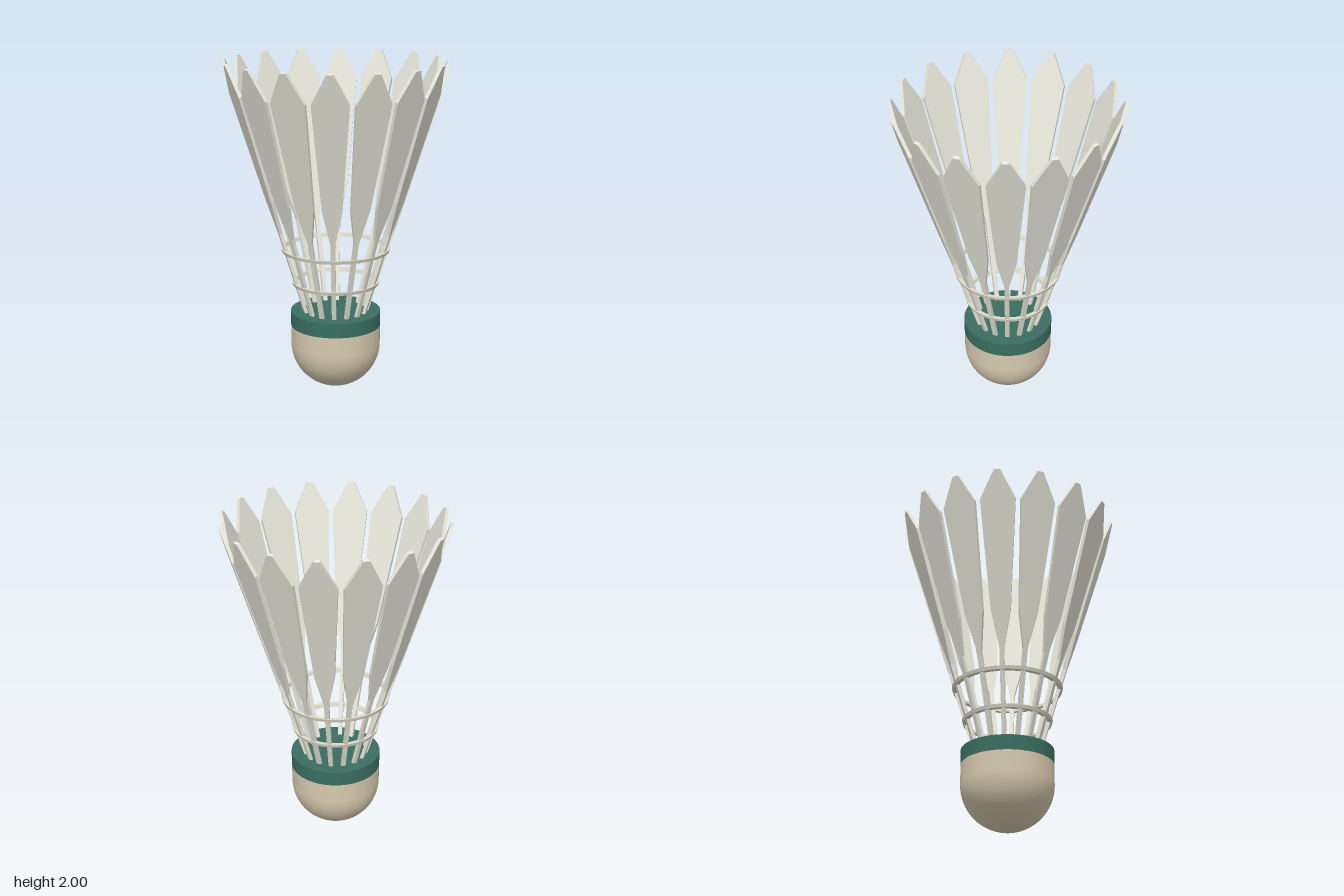
import * as THREE from 'three';

const FEATHERS = 16;
const SLOPE = 0.306;                 // outward run of a feather per unit of height
const TILT = Math.atan(SLOPE);
const FOOT_Y = 0.44, CAP_Y = 0.48, CAP_R = 0.18;

const radiusAt = (y) => CAP_R + (y - CAP_Y) * SLOPE;   // inner face of the skirt

function paint(color) {
  return new THREE.MeshStandardMaterial({ color });
}

function addMesh(parent, name, geometry, material) {
  const mesh = new THREE.Mesh(geometry, material);
  mesh.name = name;
  parent.add(mesh);
  return mesh;
}

// Flat feather: thin stem widening into a pointed vane, [half width, height]
function featherGeometry() {
  const half = [[0.013, FOOT_Y], [0.014, 0.99], [0.058, 1.2], [0.105, 1.83], [0.018, 2]];
  const along = (y) => (y - FOOT_Y) / Math.cos(TILT);
  const right = half.map(([x, y]) => new THREE.Vector2(x, along(y)));
  const left = half.map(([x, y]) => new THREE.Vector2(-x, along(y))).reverse();
  const geometry = new THREE.ExtrudeGeometry(new THREE.Shape([...right, ...left]),
    { depth: 0.02, bevelEnabled: false });
  geometry.rotateX(TILT);
  geometry.translate(0, FOOT_Y, radiusAt(FOOT_Y));
  return geometry;
}

// Conical band that binds the stems; each side has its own normals
function ringGeometry(y) {
  const r = radiusAt(y) + 0.005, h = 0.01, lean = h * SLOPE, w = 0.024;
  const corners = [[r - lean, y - h], [r + w - lean, y - h], [r + w + lean, y + h], [r + lean, y + h]];
  const points = corners.map((c) => new THREE.Vector2(...c));
  return points.map((p, i) => new THREE.LatheGeometry([p, points[(i + 1) % 4]], 64));
}

export function createModel() {
  const model = new THREE.Group();
  model.name = 'shuttlecock';
  const cork = paint(0xd6c9ae), green = paint(0x3a6e60);
  const white = paint(0xe6e6da), thread = paint(0xdedac8);

  // Rounded cork base
  const R = 0.272;
  const profile = [];
  for (let i = 0; i <= 20; i++) {
    const a = (i / 20) * Math.PI / 2;
    profile.push(new THREE.Vector2(R * Math.sin(a), R - R * Math.cos(a)));
  }
  profile.push(new THREE.Vector2(R, 0.39));
  addMesh(model, 'corkBase', new THREE.LatheGeometry(profile, 64), cork);

  // Coloured band closing the top of the cork
  const band = addMesh(model, 'band', new THREE.CylinderGeometry(R + 0.001, R + 0.001, 0.09, 64), green);
  band.position.y = 0.435;

  // Skirt of feathers
  const skirt = new THREE.Group();
  skirt.name = 'feathers';
  const feather = featherGeometry();
  for (let i = 0; i < FEATHERS; i++) {
    addMesh(skirt, 'feather' + (i + 1), feather, white).rotation.y = (i / FEATHERS) * Math.PI * 2;
  }
  model.add(skirt);

  // Two binding rings
  [['lowerRing', 0.66], ['upperRing', 0.87]].forEach(([name, y]) => {
    const ring = new THREE.Group();
    ring.name = name;
    ringGeometry(y).forEach((g, i) => addMesh(ring, ['under', 'outer', 'upper', 'inner'][i] + 'Face', g, thread));
    model.add(ring);
  });

  return model;
}
